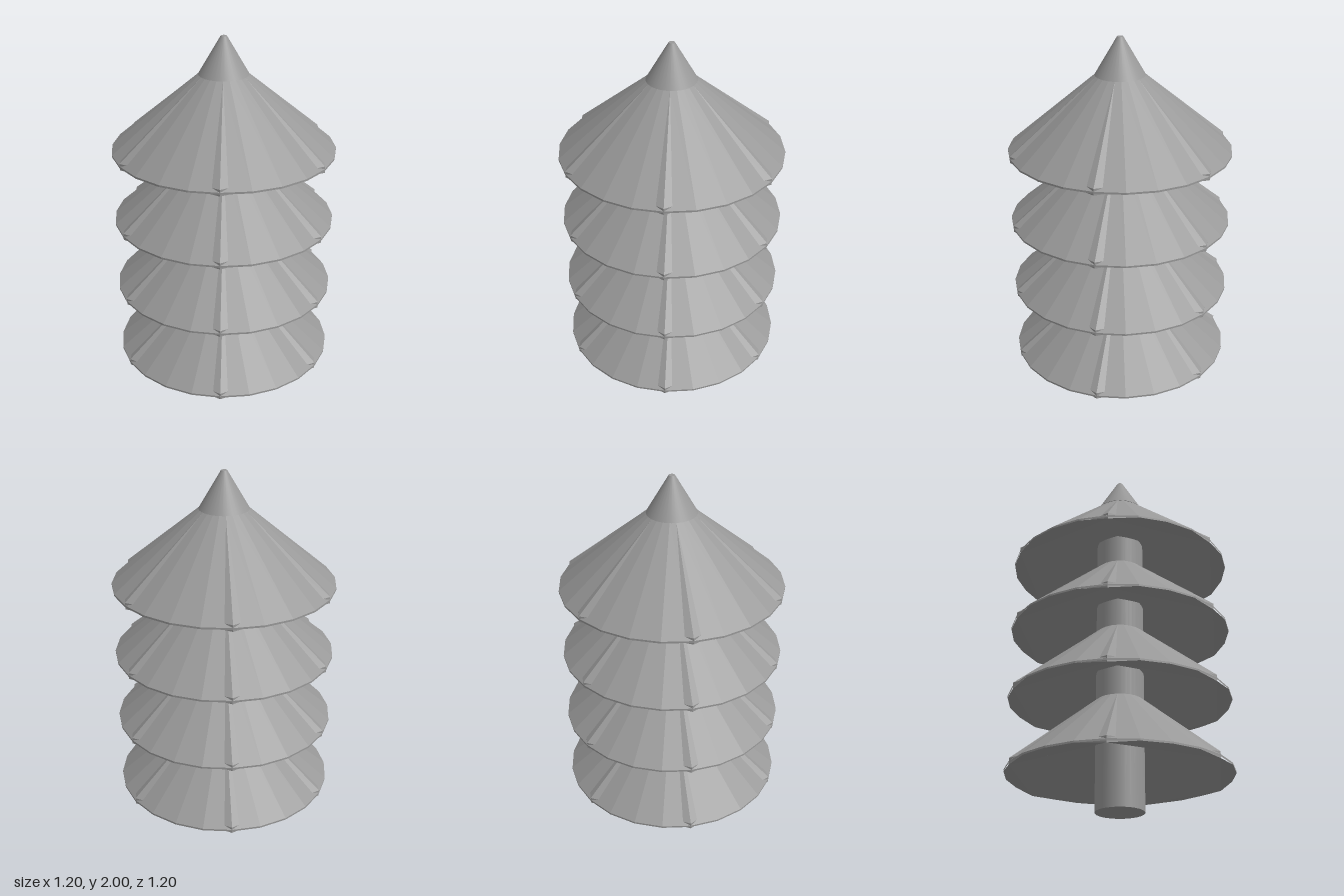
import * as THREE from 'three';

const RIM = 0.6, TRUNK = 0.13, TIERS = 4, STEP = 0.4, LIP = 0.01;

export function createModel() {
  const model = new THREE.Group();
  const smooth = new THREE.MeshStandardMaterial({ color: 0x999999 });
  const faceted = new THREE.MeshStandardMaterial({ color: 0x999999, flatShading: true });

  const add = (parent, name, geometry, material) => {
    const mesh = new THREE.Mesh(geometry, material);
    mesh.name = name;
    parent.add(mesh);
    return mesh;
  };
  const lathe = (points, sides, start = 0) =>
    new THREE.LatheGeometry(points.map(([r, y]) => new THREE.Vector2(r, y)), sides, start);

  // Trunk and pointed tip
  add(model, 'trunk', new THREE.CylinderGeometry(TRUNK, TRUNK, 1.8, 32), smooth).position.y = 0.9;
  add(model, 'tip', new THREE.CylinderGeometry(0.016, 0.133, 0.2, 32), smooth).position.y = 1.9;

  // Round 24-sided skirt with a thin vertical rim
  const skirt = lathe([[RIM, LIP], [RIM, 0.02], [TRUNK, 0.42]], 24);

  // Six-sided shell: its corners rise through the skirt as ribs, its shallow inside is the underside
  const shell = lathe(
    [[TRUNK, 0.18], [RIM, 0], [RIM, 0.035], [TRUNK, 0.42]], 6, Math.PI / 6);

  // Underside of the rim, sloping from one hexagon edge up to the circle
  const outline = [];
  for (let i = 0; i <= 4; i++) {
    const a = i * Math.PI / 12;
    outline.push(new THREE.Vector2(RIM * Math.cos(a), RIM * Math.sin(a)));
  }
  const lip = new THREE.ShapeGeometry(new THREE.Shape(outline)).rotateX(Math.PI / 2);
  const corners = lip.attributes.position;
  for (let i = 0; i < corners.count; i++) {
    const a = Math.atan2(corners.getZ(i), corners.getX(i));
    corners.setY(i, a > 0.1 && a < 1 ? LIP : 0);
  }

  // Four identical tiers of branches
  for (let t = 0; t < TIERS; t++) {
    const tier = new THREE.Group();
    tier.name = 'branchTier' + (t + 1);
    tier.position.y = 0.18 + t * STEP;
    add(tier, 'skirt', skirt, faceted);
    add(tier, 'ribShell', shell, faceted);
    for (let k = 0; k < 6; k++) {
      add(tier, 'rimUnderside', lip, faceted).rotation.y = k * Math.PI / 3;
    }
    model.add(tier);
  }
  return model;
}
